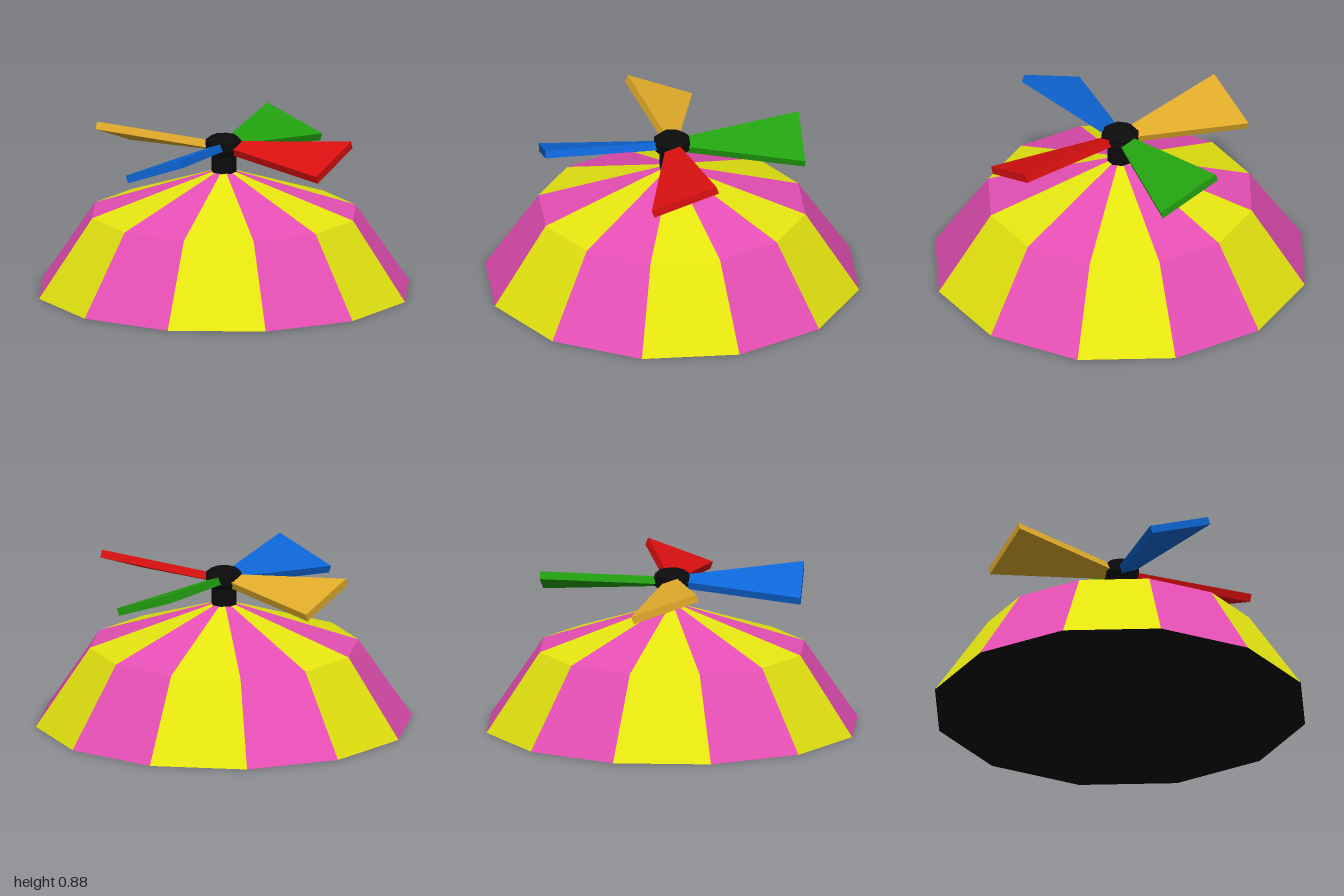
import * as THREE from 'three';

const paint = (name, color, extra = {}) => {
  const m = new THREE.MeshStandardMaterial({ color, ...extra });
  m.name = name;
  return m;
};

export function createModel() {
  const group = new THREE.Group();
  const pink = paint('pink', 0xe64fb5);
  const yellow = paint('yellow', 0xe6e610);
  const black = paint('black', 0x0c0c0c);
  const blue = paint('blue', 0x0e67d8);
  const red = paint('red', 0xdc1010);
  const green = paint('green', 0x23a311);
  const gold = paint('gold', 0xe2ac2a);

  const add = (name, geometry, material, parent = group) => {
    const mesh = new THREE.Mesh(geometry, material);
    mesh.name = name;
    parent.add(mesh);
    return mesh;
  };

  // Regular solid of revolution with flat facets; radii are measured to the flats
  const faceted = (profile, sides) => {
    const k = 1 / Math.cos(Math.PI / sides);
    const points = profile.map(([r, y]) => new THREE.Vector2(r * k, y));
    const g = new THREE.LatheGeometry(points, sides, Math.PI / sides).toNonIndexed();
    g.computeVertexNormals();
    return g;
  };

  // Twelve alternating cap panels, each with a steep side and a shallow crown
  const SIDES = 12;
  const tan = Math.tan(Math.PI / SIDES);
  const panel = new THREE.BufferGeometry();
  const row = (r, y) => [[-r * tan, y, r], [r * tan, y, r]];
  const [a, b] = row(1, 0);
  const [c, d] = row(0.713, 0.436);
  const apex = [0, 0.685, 0];
  panel.setAttribute('position', new THREE.Float32BufferAttribute(
    [a, b, d, a, d, c, c, d, apex].flat(), 3));
  panel.computeVertexNormals();
  const cap = new THREE.Group();
  cap.name = 'cap';
  group.add(cap);
  for (let i = 0; i < SIDES; i++) {
    const mesh = add('capPanel', panel, i % 2 ? yellow : pink, cap);
    mesh.rotation.y = (i * Math.PI * 2) / SIDES;
  }

  // Dark underside
  const base = new THREE.CircleGeometry(1 / Math.cos(Math.PI / SIDES), SIDES, Math.PI / SIDES);
  base.rotateX(Math.PI / 2);
  add('underside', base, black);

  // Octagonal stem and bevelled hub
  add('stem', faceted([[0.065, 0.64], [0.065, 0.79]], 8), black);
  add('hub', faceted([[0, 0.755], [0.065, 0.755], [0.095, 0.785], [0.095, 0.835],
    [0.065, 0.862], [0, 0.862]], 8), black);

  // Four tapered blades, each pitched about its own length
  const bladeGeometry = new THREE.BoxGeometry(2, 0.043, 0.673);
  const p = bladeGeometry.attributes.position;
  for (let i = 0; i < p.count; i++) {
    const outer = p.getZ(i) > 0;
    p.setX(i, p.getX(i) * (outer ? 0.189 : 0.032));
    p.setZ(i, outer ? 0.713 : 0.04);
  }
  const blade = bladeGeometry.toNonIndexed();
  blade.computeVertexNormals();
  blade.rotateZ(THREE.MathUtils.degToRad(20));
  [['frontBlade', blue], ['leftBlade', red], ['backBlade', green], ['rightBlade', gold]]
    .forEach(([name, material], i) => {
      const mesh = add(name, blade, material);
      mesh.position.y = 0.8;
      mesh.rotation.y = (i * Math.PI) / 2;
    });

  return group;
}
